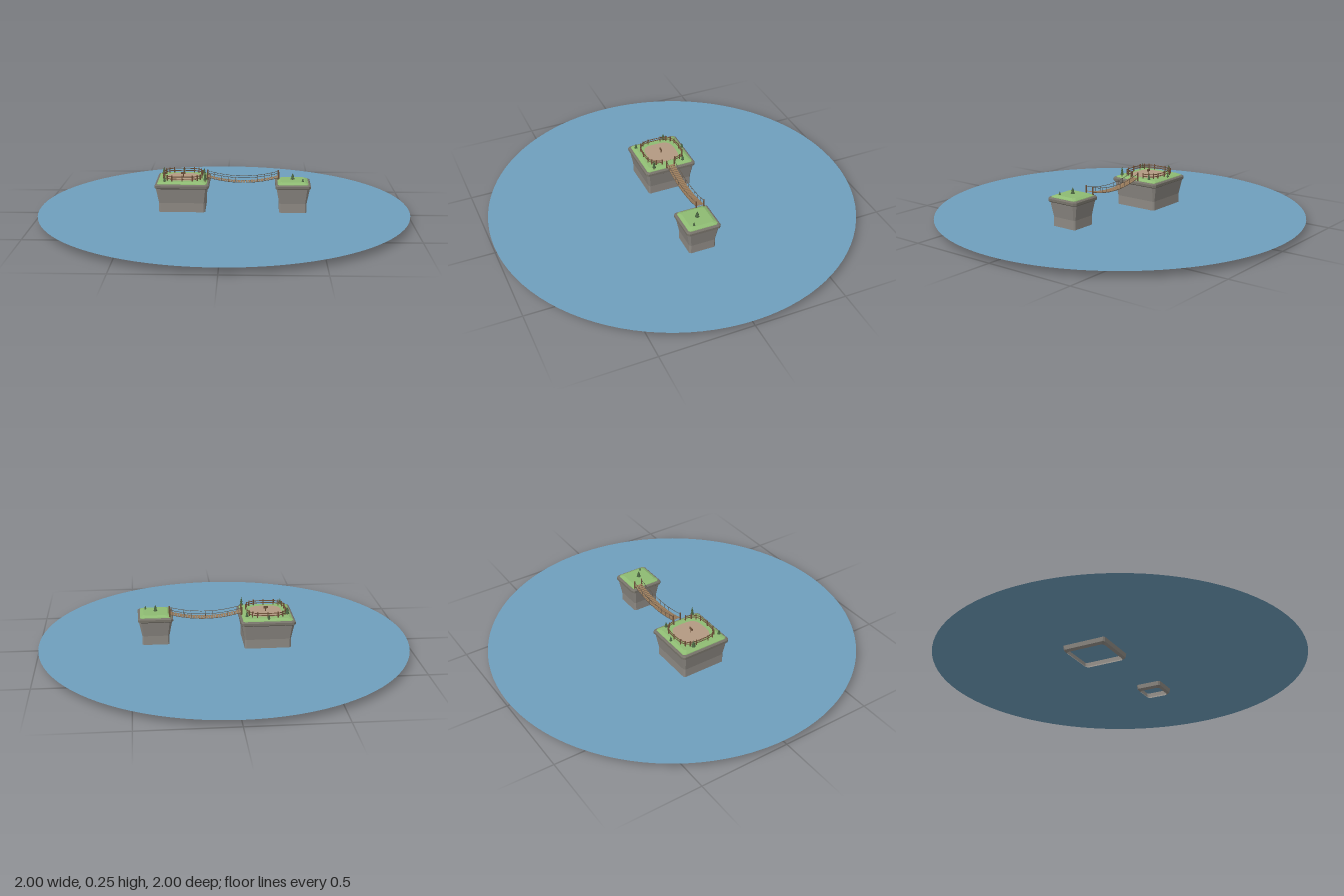
import * as THREE from 'three';

const mat = (color, extra = {}) => new THREE.MeshStandardMaterial({ color, flatShading: true, ...extra });
const WATER = mat(0x6f9fbd, { side: THREE.DoubleSide });
const STONE = mat(0x8d8983, { side: THREE.DoubleSide });
const RIM = mat(0x77736a);
const GRASS = mat(0x8ebb72);
const DIRT = mat(0xb39a82);
const WOOD = mat(0x6d5039);
const PLANK = mat(0x9a7c5c);
const LEAF = mat(0x48613f);
const ROPE = mat(0x5e5347);
const TOP = 0.2;

function add(parent, name, geometry, material, x = 0, y = 0, z = 0) {
  const mesh = new THREE.Mesh(geometry, material);
  mesh.name = name;
  mesh.position.set(x, y, z);
  parent.add(mesh);
  return mesh;
}

// Square sections with cut corners, each [half width, height, corner cut], joined upward
function loft(sections, capped) {
  const pos = [], idx = [];
  for (const [h, y, c] of sections) {
    const k = h - c;
    for (const [x, z] of [[h, -k], [h, k], [k, h], [-k, h], [-h, k], [-h, -k], [-k, -h], [k, -h]]) pos.push(x, y, z);
  }
  const rows = sections.length;
  for (let r = 0; r < rows - 1; r++) {
    for (let i = 0; i < 8; i++) {
      const a = r * 8 + i, b = r * 8 + (i + 1) % 8;
      idx.push(a, a + 8, b, b, a + 8, b + 8);
    }
  }
  if (capped) {
    const s = (rows - 1) * 8;
    for (let i = 1; i < 7; i++) idx.push(s, s + i + 1, s + i);
  }
  const g = new THREE.BufferGeometry();
  g.setAttribute('position', new THREE.Float32BufferAttribute(pos, 3));
  g.setIndex(idx);
  const flat = g.toNonIndexed();
  flat.computeVertexNormals();
  return flat;
}

// Rock pillar with an open base, a rim and a grass cap
function island(name, x, z, h, waist) {
  const g = new THREE.Group();
  g.name = name;
  g.position.set(x, 0, z);
  add(g, 'rock', loft([
    [waist - 0.013, 0, 0.012], [waist - 0.003, 0.012, 0.009], [waist, 0.035, 0.008],
    [waist, 0.085, 0.008], [h - 0.006, 0.165, 0.014],
  ], false), STONE);
  add(g, 'rim', loft([
    [h - 0.006, 0.165, 0.014], [h, 0.17, 0.012], [h, 0.183, 0.012], [h - 0.006, 0.189, 0.012], [h - 0.014, 0.189, 0.01],
  ], true), RIM);
  add(g, 'grass', loft([
    [h - 0.011, 0.187, 0.01], [h - 0.013, 0.192, 0.01], [h - 0.03, TOP, 0.012],
  ], true), GRASS);
  return g;
}

// Slim conifer: trunk and two stacked cones
function tree(x, z, height, r) {
  const g = new THREE.Group();
  g.name = 'tree';
  g.position.set(x, TOP - 0.004, z);
  add(g, 'trunk', new THREE.CylinderGeometry(r * 0.3, r * 0.35, height * 0.3, 6), WOOD, 0, height * 0.15);
  add(g, 'lowerLeaves', new THREE.ConeGeometry(r, height * 0.55, 7), LEAF, 0, height * 0.45);
  add(g, 'upperLeaves', new THREE.ConeGeometry(r * 0.72, height * 0.5, 7), LEAF, 0, height * 0.75);
  return g;
}

// Straight bar between two points
function bar(parent, name, a, b, r, material) {
  const m = add(parent, name, new THREE.CylinderGeometry(r, r, a.distanceTo(b), 5), material);
  m.position.copy(a).lerp(b, 0.5);
  m.quaternion.setFromUnitVectors(new THREE.Vector3(0, 1, 0), b.clone().sub(a).normalize());
}

// Point on a rounded square
function rounded(t, half, y) {
  const p = (v) => Math.sign(v) * Math.abs(v) ** 0.6 * half;
  return new THREE.Vector3(p(Math.cos(t)), y, p(Math.sin(t)));
}

// Ring fence with a gap on the bridge side
function fence() {
  const g = new THREE.Group();
  g.name = 'fence';
  const n = 18;
  const at = (i, y) => rounded((i + 0.5) / n * Math.PI * 2, 0.105, y);
  for (let i = 0; i < n; i++) {
    bar(g, 'fencePost', at(i, 0.196), at(i, 0.231), 0.0035, WOOD);
    if (i === n - 1) continue;
    for (const y of [0.212, 0.224]) bar(g, 'fenceRail', at(i, y), at(i + 1, y), 0.0025, WOOD);
  }
  return g;
}

// Hanging bridge along x
function bridge() {
  const g = new THREE.Group();
  g.name = 'bridge';
  const x0 = -0.09, x1 = 0.295, z = -0.03, half = 0.022;
  const sag = (t, end, mid) => mid + (end - mid) * (2 * t - 1) ** 2;
  const point = (t, end, mid, zz) => new THREE.Vector3(x0 + (x1 - x0) * t, sag(t, end, mid), zz);
  const n = 28;
  for (let i = 0; i < n; i++) {
    const t = (i + 0.5) / n;
    const p = point(t, 0.206, 0.178, z);
    const plank = add(g, 'plank', new THREE.BoxGeometry(0.0105, 0.003, half * 2), PLANK, p.x, p.y, p.z);
    plank.rotation.z = Math.atan(4 * (2 * t - 1) * 0.028 / (x1 - x0));
  }
  for (const s of [-1, 1]) {
    const side = z + s * half;
    for (const [name, end, mid] of [['deckRope', 0.204, 0.176], ['handRope', 0.23, 0.203]]) {
      const pts = Array.from({ length: 13 }, (_, i) => point(i / 12, end, mid, side));
      add(g, name, new THREE.TubeGeometry(new THREE.CatmullRomCurve3(pts), 32, 0.0014, 5), ROPE);
    }
    for (let i = 1; i < 10; i++) {
      bar(g, 'hanger', point(i / 10, 0.204, 0.176, side), point(i / 10, 0.23, 0.203, side), 0.0008, ROPE);
    }
    for (const x of [x0, x1]) {
      add(g, 'bridgePost', new THREE.CylinderGeometry(0.004, 0.005, 0.046, 6), WOOD, x, 0.213, side);
    }
  }
  return g;
}

export function createModel() {
  const model = new THREE.Group();
  model.name = 'islandsWithBridge';

  const water = add(model, 'water', new THREE.CircleGeometry(1, 96), WATER, 0, 0.035, 0);
  water.rotation.x = -Math.PI / 2;

  const large = island('largeIsland', -0.2225, -0.03, 0.145, 0.124);
  const small = island('smallIsland', 0.371, 0.02, 0.094, 0.073);
  model.add(large, small);

  // Bare ground inside the fence
  const outline = new THREE.Shape(Array.from({ length: 40 }, (_, i) => {
    const p = rounded(i / 40 * Math.PI * 2, 0.085, 0);
    return new THREE.Vector2(p.x, p.z);
  }));
  const ground = add(large, 'bareGround', new THREE.ExtrudeGeometry(outline, { depth: 0.003, bevelEnabled: false }), DIRT, 0, 0.1985);
  ground.rotation.x = -Math.PI / 2;
  large.add(fence());

  // Small sign in the middle
  const sign = new THREE.Group();
  sign.name = 'sign';
  add(sign, 'signPost', new THREE.CylinderGeometry(0.0025, 0.0025, 0.028, 6), WOOD, 0, 0.213);
  add(sign, 'signBoard', new THREE.BoxGeometry(0.024, 0.012, 0.004), WOOD, 0, 0.222, 0.002);
  large.add(sign);

  for (const [x, z, h, r] of [
    [-0.332, -0.088, 0.045, 0.012], [-0.225, -0.157, 0.032, 0.008], [-0.112, -0.112, 0.036, 0.009],
    [-0.316, 0.083, 0.034, 0.009], [-0.1, 0.063, 0.056, 0.01],
    [0.37, 0.02, 0.04, 0.012], [0.423, 0.062, 0.022, 0.007],
  ]) model.add(tree(x, z, h, r));

  model.add(bridge());
  return model;
}
